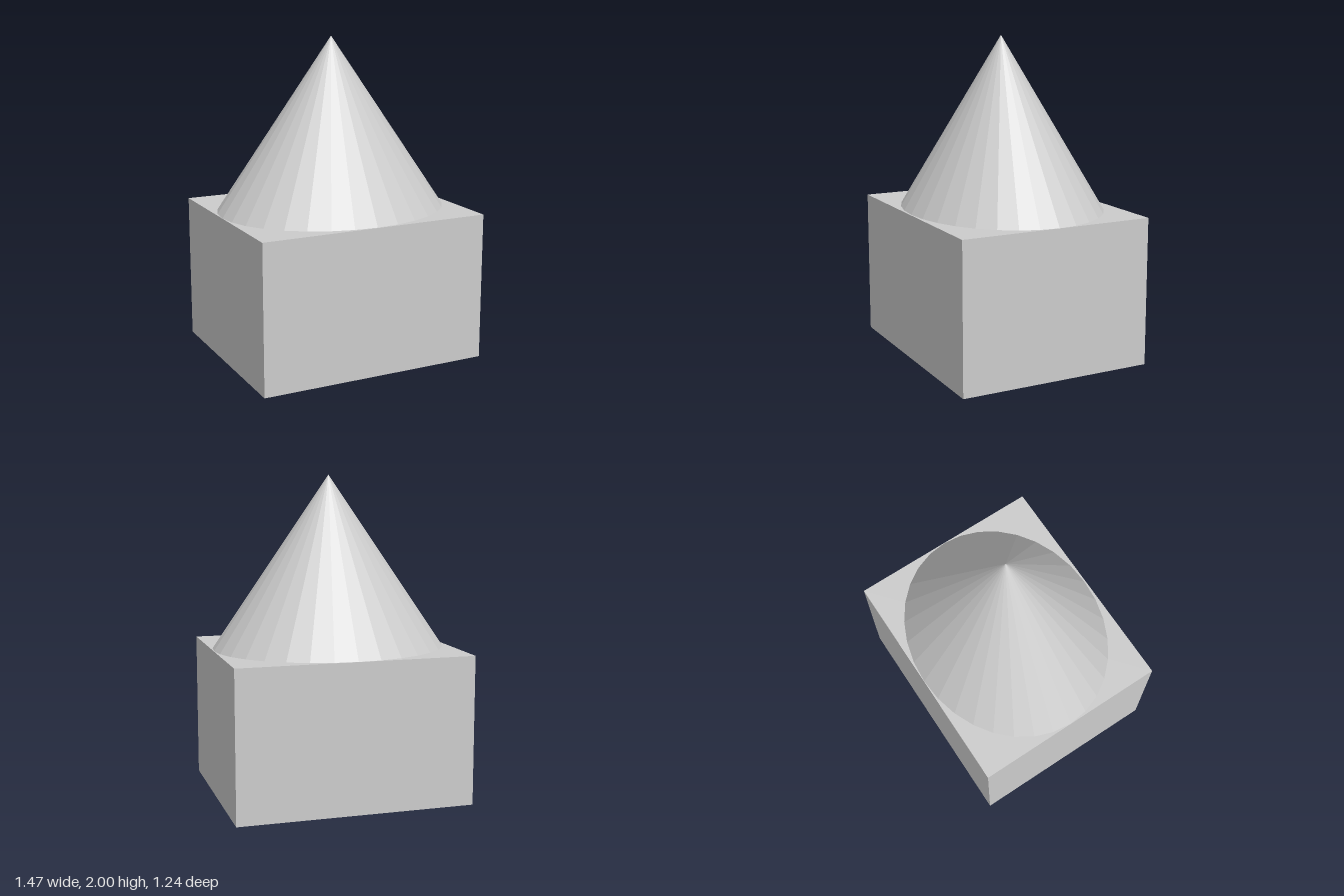
import * as THREE from 'three';

export function createModel() {
  const group = new THREE.Group();
  const material = new THREE.MeshStandardMaterial({ color: 0xcccccc, flatShading: true });
  const baseHeight = 0.925;
  const coneHeight = 2 - baseHeight;

  // Rectangular block
  const base = new THREE.Mesh(new THREE.BoxGeometry(1.474, baseHeight, 1.24), material);
  base.name = 'base';
  base.position.y = baseHeight / 2;

  // Faceted cone, stretched to an oval footprint
  const roofGeometry = new THREE.ConeGeometry(1, coneHeight, 32);
  roofGeometry.scale(0.735, 1, 0.615);
  const roof = new THREE.Mesh(roofGeometry, material);
  roof.name = 'coneRoof';
  roof.position.set(0, baseHeight + coneHeight / 2, -0.003);

  group.add(base, roof);
  return group;
}
